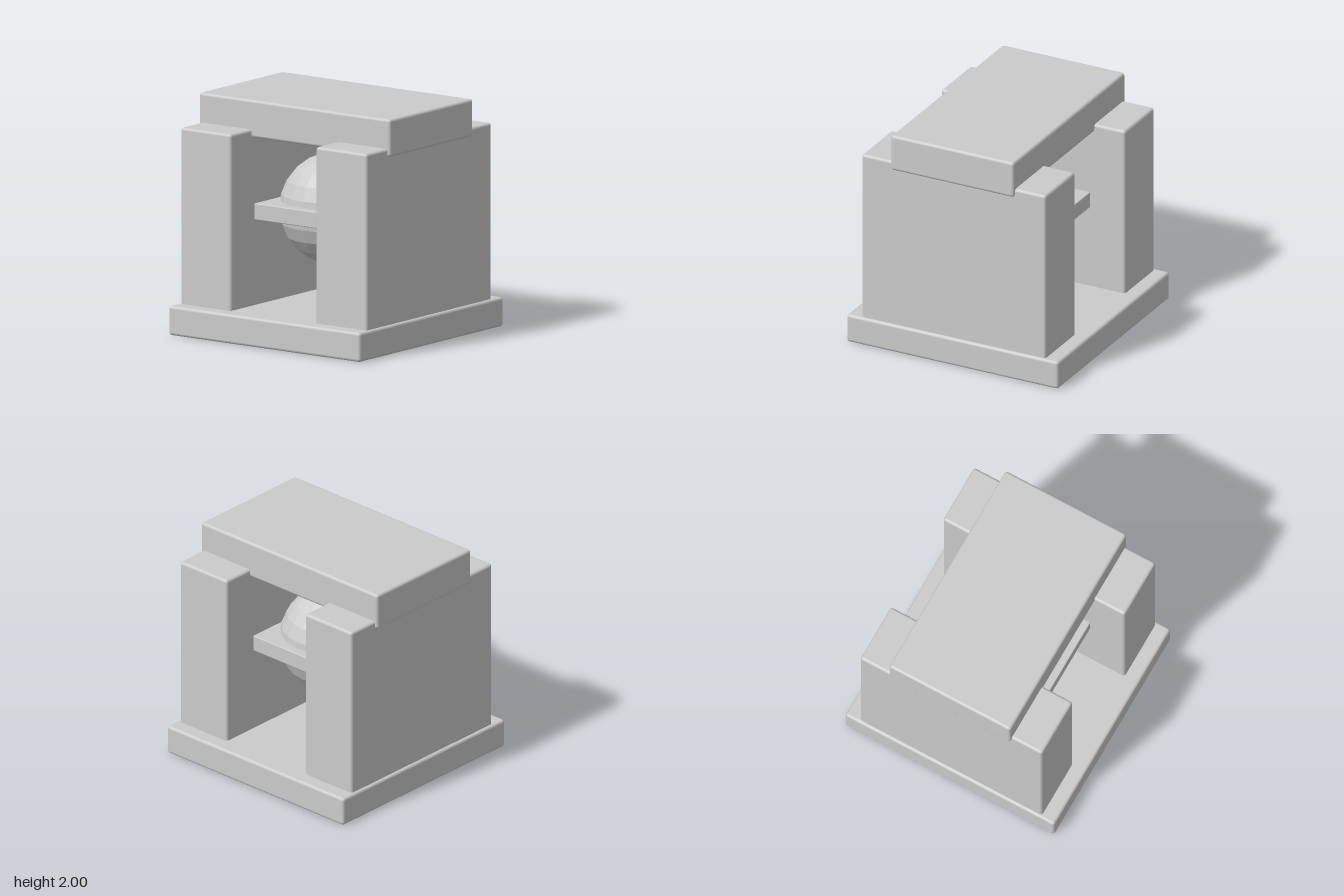
import * as THREE from 'three';
import { RoundedBoxGeometry } from 'three/addons/geometries/RoundedBoxGeometry.js';

export function createModel() {
  const model = new THREE.Group();
  model.name = 'stoneShrine';
  const material = new THREE.MeshStandardMaterial({ color: 0xcccccc });
  const flatMaterial = new THREE.MeshStandardMaterial({ color: 0xcccccc, flatShading: true });

  // Slab with softened edges, given by its extents in x, y and z
  function slab(name, [x0, x1], [y0, y1], [z0, z1], bevel = 0.025) {
    const geometry = new RoundedBoxGeometry(x1 - x0, y1 - y0, z1 - z0, 2, bevel);
    const mesh = new THREE.Mesh(geometry, material);
    mesh.name = name;
    mesh.position.set((x0 + x1) / 2, (y0 + y1) / 2, (z0 + z1) / 2);
    model.add(mesh);
  }

  slab('base', [-1, 1], [0, 0.25], [-1, 1]);
  slab('roofSlab', [-1, 1], [1.68, 2], [-0.58, 0.58]);

  // Side walls, sunk a little into the base
  slab('leftWall', [0.44, 0.975], [0.2, 1.75], [-0.87, 0.87]);
  slab('rightWall', [-0.975, -0.445], [0.2, 1.75], [-0.87, 0.87]);

  // Shelf spanning between the walls
  slab('shelf', [-0.48, 0.48], [0.975, 1.115], [-0.54, 0.54], 0.008);

  // Faceted ball held by the shelf
  const ball = new THREE.Mesh(new THREE.SphereGeometry(0.475, 20, 12), flatMaterial);
  ball.name = 'ball';
  ball.position.y = 1.045;
  model.add(ball);

  return model;
}
